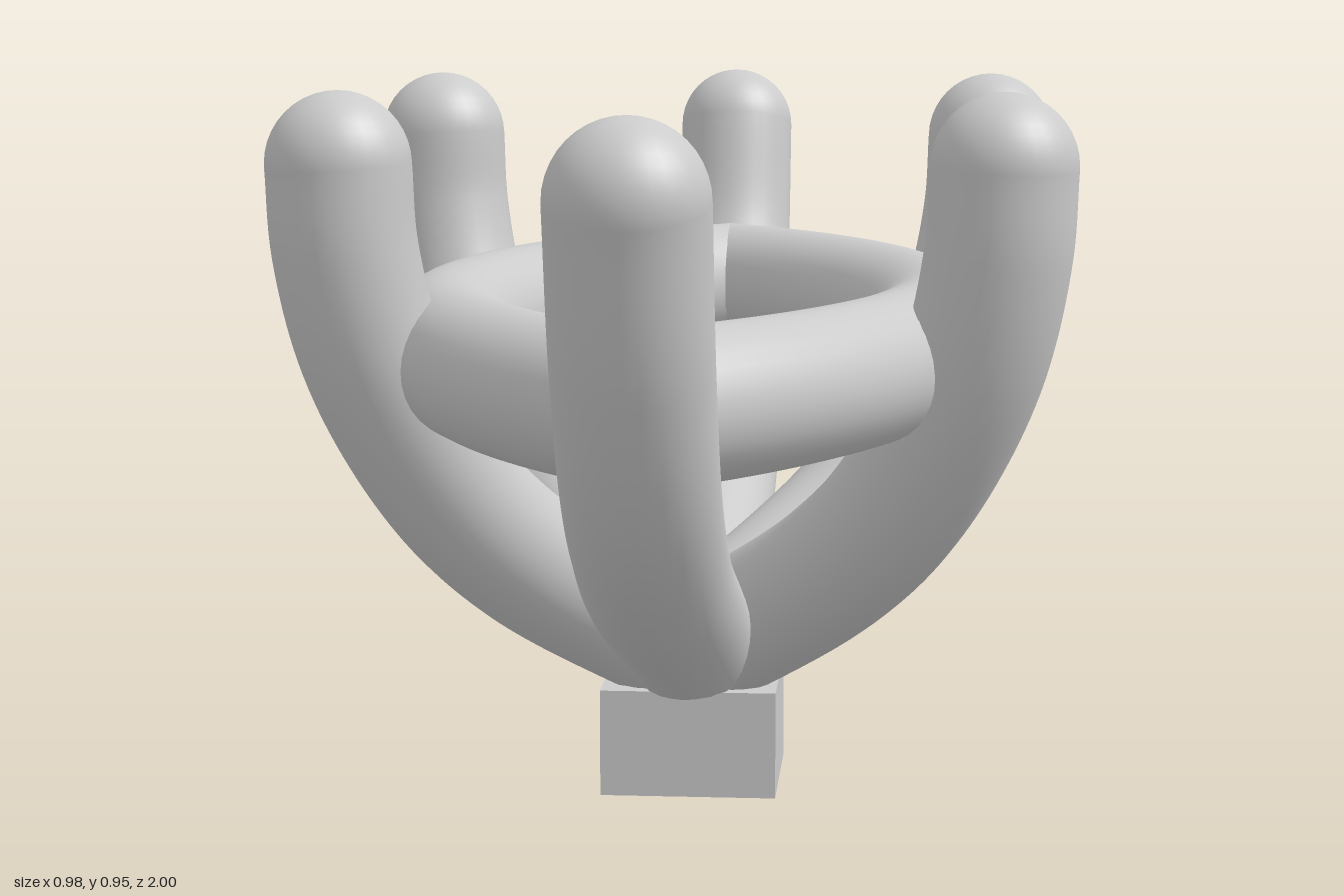
import * as THREE from 'three';

const RADIUS = 0.089;
const material = new THREE.MeshStandardMaterial({ color: 0xcccccc });

function addMesh(parent, geometry, name) {
  const mesh = new THREE.Mesh(geometry, material);
  mesh.name = name;
  parent.add(mesh);
  return mesh;
}

// Flatten everything below a limit on one axis, giving a clean planar cut
function cutBelow(geometry, axis, limit) {
  const p = geometry.attributes.position;
  for (let i = 0; i < p.count; i++) {
    p.setComponent(i, axis, Math.max(p.getComponent(i, axis), limit));
  }
  return geometry;
}

// Curved prong with a round tip; profile points are [distance outwards, height]
function makeProng(profile, angle, name) {
  const prong = new THREE.Group();
  prong.name = name;
  const path = new THREE.CatmullRomCurve3(profile.map(([d, y]) => new THREE.Vector3(0, y, d)));
  const tube = new THREE.TubeGeometry(path, 64, RADIUS, 32);
  addMesh(prong, cutBelow(tube, 1, 0.143), name + 'Stem');
  const tip = addMesh(prong, new THREE.SphereGeometry(RADIUS, 32, 20), name + 'Tip');
  tip.position.copy(path.getPoint(1));
  prong.rotation.y = angle;
  return prong;
}

// One half of the pointed oval ring, mitred where it meets the other half
function makeRingHalf(side) {
  const arcRadius = 1.06, offset = 0.739, span = 0.88;
  const points = [];
  for (let i = 0; i <= 24; i++) {
    const t = -span + (2 * span * i) / 24;
    points.push(new THREE.Vector3(arcRadius * Math.cos(t) - offset, 0.61, arcRadius * Math.sin(t)));
  }
  const path = new THREE.CatmullRomCurve3(points);
  const geometry = cutBelow(new THREE.TubeGeometry(path, 96, RADIUS, 32), 0, 0);
  if (side < 0) geometry.rotateY(Math.PI);
  return geometry;
}

export function createModel() {
  const model = new THREE.Group();
  model.name = 'prongSetting';

  // Square base
  addMesh(model, new THREE.BoxGeometry(0.234, 0.143, 0.234), 'base').position.y = 0.0715;

  // Long prongs at front and back
  const endProfile = [[0, 0.18], [0.3, 0.285], [0.61, 0.405], [0.76, 0.515], [0.856, 0.67], [0.911, 0.849]];
  model.add(makeProng(endProfile, 0, 'frontProng'));
  model.add(makeProng(endProfile, Math.PI, 'backProng'));

  // Four shorter prongs on the diagonals
  const cornerProfile = [[0, 0.175], [0.2, 0.335], [0.288, 0.445], [0.365, 0.61], [0.395, 0.75], [0.401, 0.857]]
    .map(([d, y]) => [d * Math.SQRT2, y]);
  ['frontLeft', 'backLeft', 'backRight', 'frontRight'].forEach((corner, i) => {
    model.add(makeProng(cornerProfile, Math.PI / 4 + (i * Math.PI) / 2, corner + 'Prong'));
  });

  // Pointed oval ring
  const ring = new THREE.Group();
  ring.name = 'ring';
  addMesh(ring, makeRingHalf(1), 'ringLeft');
  addMesh(ring, makeRingHalf(-1), 'ringRight');
  model.add(ring);

  return model;
}
